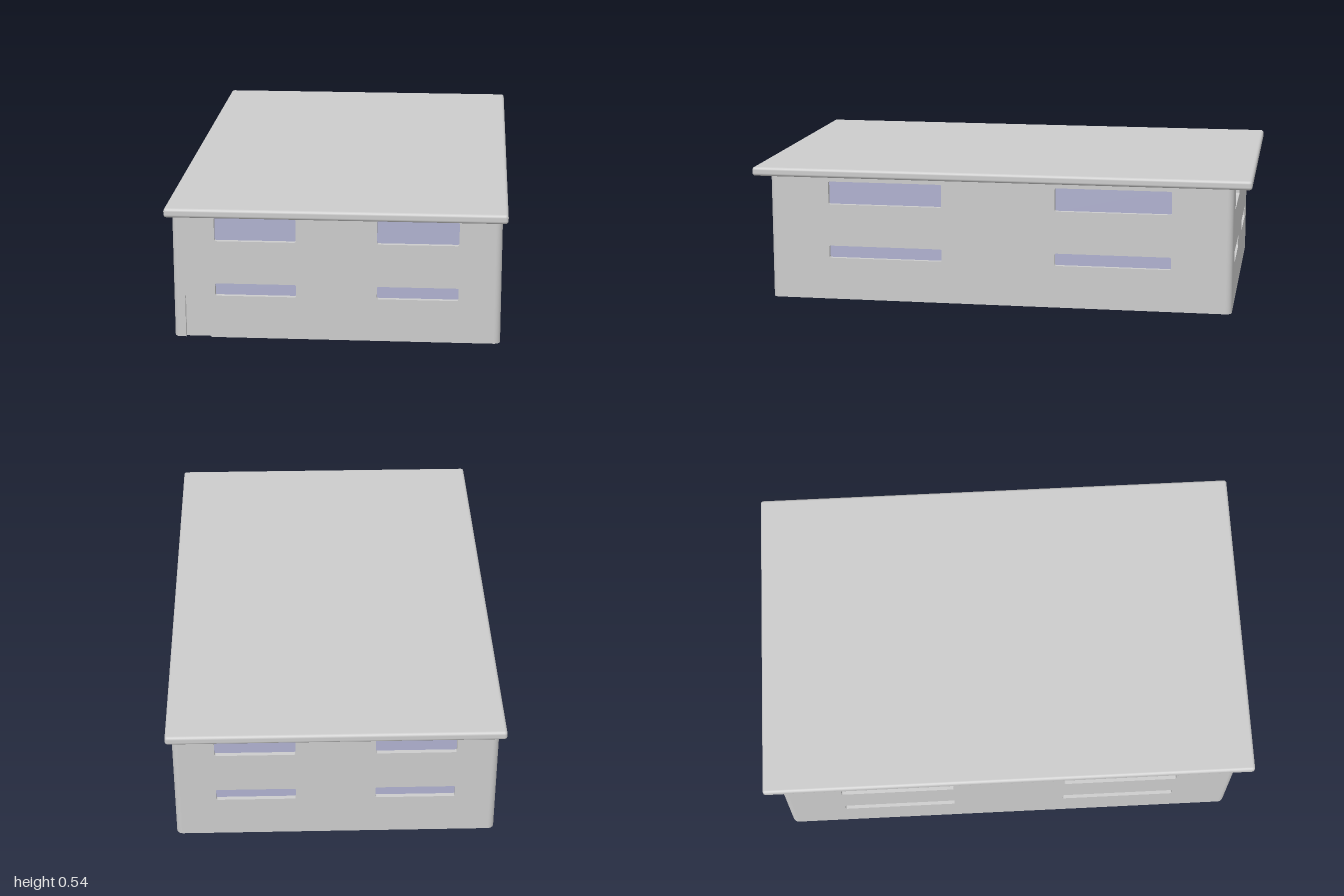
import * as THREE from 'three';
import { RoundedBoxGeometry } from 'three/addons/geometries/RoundedBoxGeometry.js';

const HX = 0.63, HZ = 0.93, H = 0.505; // wall half sizes and height
const T = 0.025;                       // wall thickness and corner radius
const RECESS = 0.018;                  // depth of panes and door behind the wall face
const ROWS = [[0.17, 0.22], [0.39, 0.483]];
const DOOR = { x0: -0.585, x1: -0.487, top: 0.168 };

const grey = new THREE.MeshStandardMaterial({ color: 0xcccccc });
const glass = new THREE.MeshStandardMaterial({ color: 0xafb1cf });

function addMesh(parent, name, geometry, material, x = 0, y = 0, z = 0) {
  const mesh = new THREE.Mesh(geometry, material);
  mesh.name = name;
  mesh.position.set(x, y, z);
  parent.add(mesh);
  return mesh;
}

// Rectangular opening with slightly rounded corners
function opening(x0, x1, y0, y1, r = 0.007) {
  const p = new THREE.Path();
  p.moveTo(x0 + r, y0);
  p.lineTo(x1 - r, y0).quadraticCurveTo(x1, y0, x1, y0 + r);
  p.lineTo(x1, y1 - r).quadraticCurveTo(x1, y1, x1 - r, y1);
  p.lineTo(x0 + r, y1).quadraticCurveTo(x0, y1, x0, y1 - r);
  p.lineTo(x0, y0 + r).quadraticCurveTo(x0, y0, x0 + r, y0);
  return p;
}

// One wall facing +z, with four recessed windows and an optional doorway
function makeWall(name, half, dist, inner, outer, door) {
  const wall = new THREE.Group();
  wall.name = name;
  const w = half - T;
  const shape = new THREE.Shape();
  shape.moveTo(-w, 0);
  if (door) {
    shape.lineTo(door.x0, 0);
    shape.lineTo(door.x0, door.top);
    shape.lineTo(door.x1, door.top);
    shape.lineTo(door.x1, 0);
  }
  shape.lineTo(w, 0);
  shape.lineTo(w, H);
  shape.lineTo(-w, H);
  shape.closePath();

  for (const [y0, y1] of ROWS) {
    for (const side of [-1, 1]) {
      const x0 = side < 0 ? -outer : inner;
      const x1 = side < 0 ? -inner : outer;
      shape.holes.push(opening(x0, x1, y0, y1));
      const pane = new THREE.BoxGeometry(x1 - x0 + 0.01, y1 - y0 + 0.01, 0.005);
      addMesh(wall, 'windowPane', pane, glass, (x0 + x1) / 2, (y0 + y1) / 2, dist - RECESS - 0.0025);
    }
  }
  const panel = new THREE.ExtrudeGeometry(shape, { depth: T, bevelEnabled: false, curveSegments: 4 });
  addMesh(wall, 'wallPanel', panel, grey, 0, 0, dist - T);

  if (door) {
    const leaf = new THREE.BoxGeometry(door.x1 - door.x0 + 0.006, door.top + 0.003, 0.006);
    addMesh(wall, 'door', leaf, grey, (door.x0 + door.x1) / 2, (door.top + 0.003) / 2, dist - RECESS + 0.003);
  }
  return wall;
}

export function createModel() {
  const building = new THREE.Group();
  building.name = 'building';

  // Four walls, turned to face outward
  const front = makeWall('frontWall', HX, HZ, 0.155, 0.468, DOOR);
  const back = makeWall('backWall', HX, HZ, 0.155, 0.468);
  const left = makeWall('leftWall', HZ, HX, 0.228, 0.69);
  const right = makeWall('rightWall', HZ, HX, 0.228, 0.69);
  back.rotation.y = Math.PI;
  left.rotation.y = Math.PI / 2;
  right.rotation.y = -Math.PI / 2;
  building.add(front, back, left, right);

  // Rounded corners between the walls
  const post = new THREE.CylinderGeometry(T, T, H, 32);
  for (const sx of [-1, 1]) {
    for (const sz of [-1, 1]) {
      addMesh(building, 'cornerPost', post, grey, sx * (HX - T), H / 2, sz * (HZ - T));
    }
  }

  // Floor set a little above the bottom of the walls
  const floor = new THREE.BoxGeometry(2 * (HX - T), 0.02, 2 * (HZ - T));
  addMesh(building, 'floor', floor, grey, 0, 0.03, 0);

  // Overhanging flat roof
  const roof = new RoundedBoxGeometry(1.3, 0.036, 2, 4, 0.012);
  addMesh(building, 'roof', roof, grey, 0, 0.518, 0);

  return building;
}
